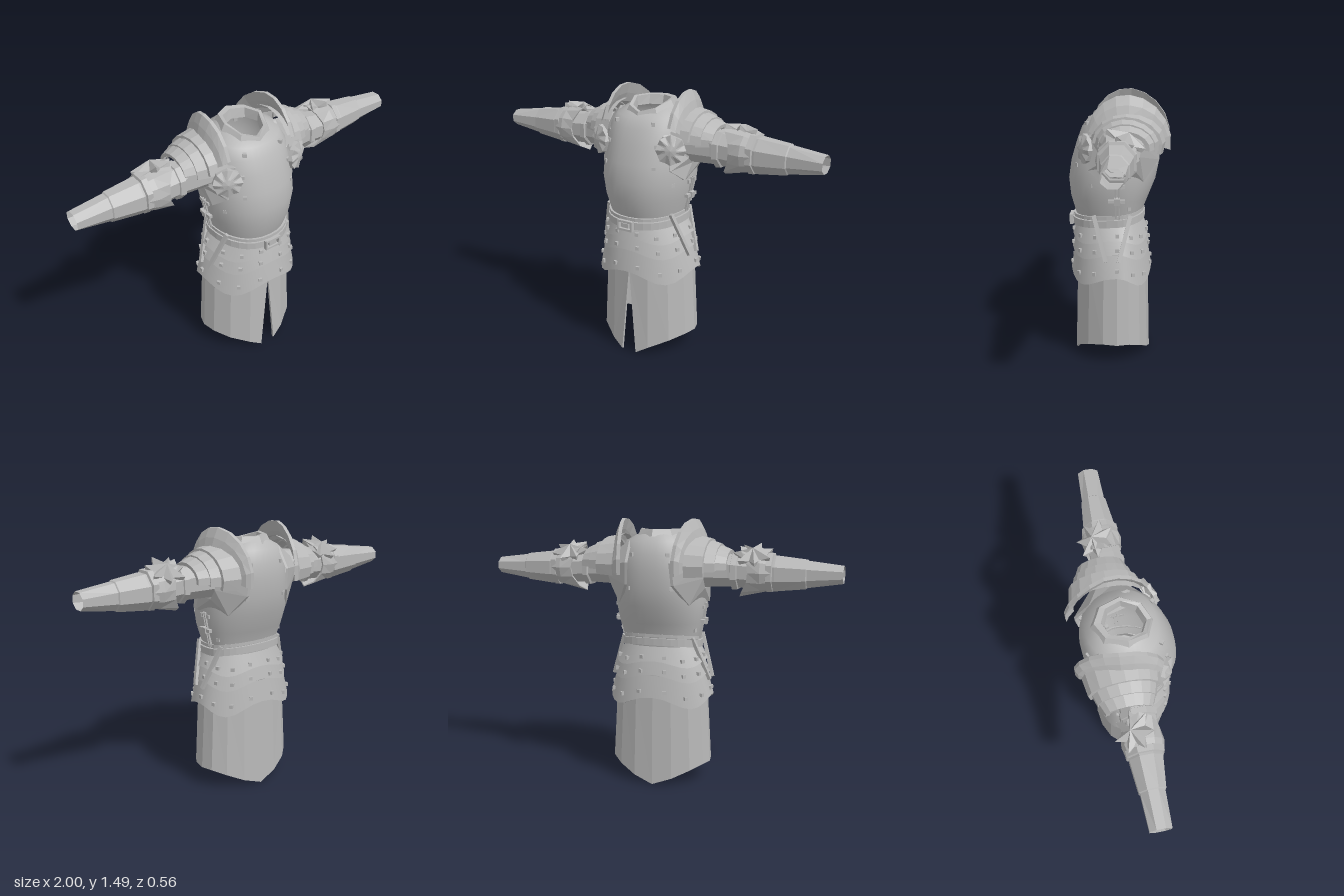
import * as THREE from 'three';
import { mergeVertices } from 'three/addons/utils/BufferGeometryUtils.js';

const steel = new THREE.MeshStandardMaterial({ color: 0xb8b8b8, side: THREE.DoubleSide });
steel.name = 'steel grey';
const { sin, cos, PI, max, min, abs, sqrt, pow, sign } = Math;

function add(parent, name, geometry) {
  const m = new THREE.Mesh(geometry, steel);
  m.name = name;
  parent.add(m);
  return m;
}

// Sheet from a rule (i along, j across); smooth or faceted
function sheet(parent, name, nu, nv, rule, smooth = false) {
  const pos = [], idx = [];
  for (let j = 0; j <= nv; j++)
    for (let i = 0; i <= nu; i++) pos.push(...rule(i, j));
  for (let j = 0; j < nv; j++)
    for (let i = 0; i < nu; i++) {
      const a = j * (nu + 1) + i, b = a + nu + 1;
      idx.push(a, a + 1, b + 1, a, b + 1, b);
    }
  let g = new THREE.BufferGeometry();
  g.setAttribute('position', new THREE.Float32BufferAttribute(pos, 3));
  g.setIndex(idx);
  g = smooth ? mergeVertices(g, 1e-4) : g.toNonIndexed();
  g.computeVertexNormals();
  return add(parent, name, g);
}

// Body section [half width, front z, back z] at angle a, 0 = front
function around([hw, zf, zb], a, p = 0.9) {
  const c = cos(a), s = sin(a);
  return [hw * sign(s) * pow(abs(s), p), (c > 0 ? zf : -zb) * sign(c) * pow(abs(c), p)];
}

// Bar between two points, lying on the side of the body
function bar(parent, name, p, q, w, t) {
  const a = new THREE.Vector3(...p), b = new THREE.Vector3(...q);
  const m = add(parent, name, new THREE.BoxGeometry(w, t, a.distanceTo(b)));
  m.position.copy(a).add(b).multiplyScalar(0.5);
  m.up.set(1, 0, 0);
  m.lookAt(b);
}

function rivet(parent, x, y, z) {
  const m = add(parent, 'rivet', new THREE.BoxGeometry(0.02, 0.02, 0.02));
  m.position.set(x, y, z);
  m.rotation.y = Math.atan2(x, z);
}

// Torso rows: y, half width, front z, back z, drop at the front
const torsoRows = [
  [0.76, 0.2, 0.22, -0.12, 0], [0.83, 0.215, 0.245, -0.13, 0], [0.92, 0.24, 0.27, -0.165, 0],
  [1.02, 0.255, 0.28, -0.205, 0], [1.12, 0.25, 0.265, -0.225, 0], [1.22, 0.235, 0.235, -0.23, 0],
  [1.3, 0.225, 0.205, -0.22, 0], [1.37, 0.19, 0.168, -0.195, 0.02], [1.41, 0.115, 0.13, -0.145, 0.04],
];
function torsoX(y, z) {
  let k = 0;
  while (k < torsoRows.length - 2 && torsoRows[k + 1][0] < y) k++;
  const A = torsoRows[k], B = torsoRows[k + 1], t = min(1, max(0, (y - A[0]) / (B[0] - A[0])));
  const mix = n => A[n] + (B[n] - A[n]) * t;
  const d = z / (z > 0 ? mix(2) : mix(3));
  return mix(1) * sqrt(max(0.25, 1 - d * d));
}

function buildTorso(g) {
  sheet(g, 'breastplate', 40, 8, (i, j) => {
    const [y, hw, zf, zb, drop] = torsoRows[j], a = i / 40 * 2 * PI;
    const [x, z] = around([hw, zf, zb], a);
    return [x, y - drop * max(0, cos(a)), z];
  }, true);
  // Collar, a folded eight-sided ring dipping at the front
  const collar = [[0.14, 0.155, -0.17, -0.025], [0.118, 0.14, -0.15, 0.015], [0.1, 0.115, -0.115, 0.012], [0.095, 0.1, -0.1, -0.04]];
  sheet(g, 'collar', 8, 3, (i, j) => {
    const a = i / 8 * 2 * PI, [x, z] = around(collar[j], a, 1);
    return [x, 1.42 + collar[j][3] - 0.055 * pow(max(0, cos(a)), 1.5), z];
  });
}

function buildWaist(g) {
  // Belt with a rectangular section, and the thin rim above it
  const band = (name, y, h, grow) => sheet(g, name, 32, 4, (i, j) => {
    const a = i / 32 * 2 * PI, out = [0, grow, grow, 0, 0][j], up = [h, h, -h, -h, h][j];
    const [x, z] = around([0.213 + out, 0.243 + out, -0.13 - out], a);
    return [x, y + up - 0.02 * cos(a), z];
  });
  band('belt', 0.798, 0.02, 0.016);
  band('waistRim', 0.832, 0.009, 0.012);
  for (const s of [-1, 1]) {
    add(g, 'buckleSide', new THREE.BoxGeometry(0.012, 0.055, 0.02)).position.set(s * 0.043, 0.778, 0.268);
    add(g, 'buckleBar', new THREE.BoxGeometry(0.09, 0.012, 0.02)).position.set(0, 0.778 + s * 0.023, 0.268);
  }
  add(g, 'bucklePin', new THREE.BoxGeometry(0.045, 0.024, 0.014)).position.set(0, 0.778, 0.266);

  // Overlapping hip lames with scalloped lower edges
  const lames = [
    [0.79, [0.212, 0.24, -0.135], 0.695, [0.262, 0.262, -0.165], 0.018],
    [0.71, [0.24, 0.245, -0.155], 0.615, [0.275, 0.265, -0.172], 0.022],
    [0.63, [0.262, 0.25, -0.165], 0.48, [0.298, 0.272, -0.185], 0.03],
  ];
  for (const [y0, s0, y1, s1, wave] of lames) {
    const at = (a, t, inset = 0) => {
      const s = s0.map((v, k) => v + (s1[k] - v) * t - sign(v) * inset);
      const [x, z] = around(s, a);
      return [x, y0 + (y1 + wave * cos(4 * a) - y0) * t, z];
    };
    sheet(g, 'hipLame', 32, 1, (i, j) => at(i / 32 * 2 * PI, j), true);
    sheet(g, 'hipLameEdge', 32, 1, (i, j) => at(i / 32 * 2 * PI, 1, j * 0.018));
    for (let k = 0; k < 14; k++) {
      const [x, y, z] = at((k + 0.5) / 14 * 2 * PI, 0.68);
      rivet(g, x, y, z);
    }
  }
}

function buildSkirt(g) {
  // Flat panels from the front slit round to the back, hem low at front and back
  const angles = [0, 0.42, 0.85, 1.25, 1.57, 1.95, 2.35, 2.75, PI];
  for (const s of [-1, 1]) {
    const at = (i, t, inset = 0) => {
      const a = i === 0 ? 0.16 * t : angles[i];
      const [x, z] = around([0.268 + 0.024 * t - inset, 0.238 + 0.014 * t - inset, -0.165 - 0.012 * t + inset], a, 1);
      const hem = 0.118 * pow(max(0, abs(x) / 0.28 - 0.16) / 0.84, 0.85);
      return [s * x, 0.52 + (min(0.115, hem) - 0.52) * t, z];
    };
    sheet(g, 'skirtPanels', 8, 1, at);
    sheet(g, 'skirtLining', 8, 1, (i, j) => at(i, j, 0.012), true);
    sheet(g, 'skirtHem', 8, 1, (i, j) => at(i, 1, j * 0.012));
    sheet(g, 'slitEdge', 1, 1, (i, j) => at(0, i, j * 0.012));
  }
}

// Plate arched over the shoulder: sections [x, height radius, depth radius]
function arch(g, name, sections, from, to, lean = 0) {
  sheet(g, name, 9, sections.length - 1, (i, j) => {
    const f = from + (to - from) * i / 9, [x, ry, rz] = sections[j];
    const back = max(0, -sin(f));
    return [x - lean * back, 1.24 + ry * cos(f), -0.045 + rz * sin(f) * (1 + 0.1 * back)];
  });
}

// Faceted tube along the arm: sections [x, centre y, centre z, ry, rz]
function armTube(g, name, sections, sides = 8) {
  sheet(g, name, sides, sections.length - 1, (i, j) => {
    const a = (i + 0.5) / sides * 2 * PI, [x, y, z, ry, rz] = sections[j];
    return [x, y + ry * 1.06 * cos(a), z + rz * 1.06 * sin(a)];
  });
}

function buildSide() {
  const g = new THREE.Group();
  // Plate round the armhole, lying on the torso
  const outline = [[0.05, 1.38], [0.16, 1.27], [0.16, 1.09], [0.08, 1.03], [-0.14, 1.03], [-0.22, 1.14], [-0.235, 1.26], [-0.15, 1.37], [0.05, 1.38]];
  sheet(g, 'armholePlate', 8, 2, (i, j) => {
    const [z, y] = outline[i], t = [0, 0, 0.5][j];
    const x = torsoX(y, z) + [0, 0.016, 0][j];
    return j < 2 ? [x, y, z] : [max(0.275, x), y + (1.21 - y) * t, z + (-0.02 - z) * t];
  });
  // Shoulder lames and the upright neck guard
  arch(g, 'neckGuard', [[0.24, 0.14, 0.17], [0.215, 0.19, 0.2], [0.195, 0.25, 0.215], [0.215, 0.25, 0.218], [0.238, 0.2, 0.205], [0.255, 0.14, 0.175]], -1.75, 1.25, 0.055);
  arch(g, 'shoulderLame', [[0.2, 0.165, 0.19], [0.3, 0.147, 0.175], [0.302, 0.13, 0.158]], -1.9, 1.5);
  arch(g, 'shoulderLame', [[0.27, 0.145, 0.168], [0.355, 0.118, 0.142], [0.355, 0.1, 0.125]], -1.75, 1.6);
  arch(g, 'shoulderLame', [[0.33, 0.12, 0.148], [0.41, 0.088, 0.115], [0.408, 0.07, 0.095]], -1.7, 1.7);
  // Fluted disc guarding the armpit
  const disc = new THREE.Group();
  disc.name = 'armpitDisc';
  sheet(disc, 'discFace', 16, 3, (i, j) => {
    const a = i / 16 * 2 * PI, r = [0, 0.03, 0.08, 0.08][j] * (i % 2 ? 0.93 : 1);
    return [r * cos(a), r * sin(a), [0.028, 0.022, i % 2 ? 0 : 0.012, -0.014][j]];
  });
  disc.position.set(0.228, 1.21, 0.175);
  disc.lookAt(0.228 + 0.45, 1.21 + 0.05, 0.175 + 0.88);
  g.add(disc);
  // Arm plates
  armTube(g, 'upperArm', [[0.24, 1.22, -0.01, 0.1, 0.1], [0.4, 1.215, -0.01, 0.088, 0.085], [0.54, 1.205, -0.01, 0.085, 0.082]]);
  armTube(g, 'armBand', [[0.41, 1.21, -0.01, 0.085, 0.082], [0.415, 1.21, -0.01, 0.098, 0.095], [0.445, 1.21, -0.01, 0.096, 0.092], [0.45, 1.21, -0.01, 0.083, 0.08]]);
  armTube(g, 'forearm', [[0.57, 1.205, -0.015, 0.088, 0.08], [0.65, 1.205, -0.015, 0.094, 0.085], [0.81, 1.205, -0.016, 0.077, 0.068], [0.815, 1.205, -0.016, 0.071, 0.062], [1, 1.208, -0.014, 0.046, 0.056]]);
  armTube(g, 'elbowCuff', [[0.6, 1.21, -0.015, 0.085, 0.08], [0.605, 1.21, -0.015, 0.104, 0.098], [0.635, 1.21, -0.015, 0.102, 0.096], [0.64, 1.21, -0.015, 0.085, 0.08]]);
  // Elbow guard with points reaching inward above and below
  sheet(g, 'elbowGuard', 12, 3, (i, j) => {
    const a = i / 12 * 2 * PI, tip = pow(abs(cos(a)), 3);
    const r = [0.095, 0.108, 0.098 + 0.038 * tip, 0.085 + 0.045 * tip][j];
    const x = [0.63, 0.575, 0.51 - 0.06 * tip, 0.512 - 0.06 * tip][j];
    return [x, 1.21 + r * cos(a), -0.015 + r * sin(a)];
  });
  // Star-shaped ridge plate on the elbow
  const star = new THREE.Group();
  star.name = 'elbowStar';
  sheet(star, 'starFace', 14, 2, (i, j) => {
    const a = i / 14 * 2 * PI, r = [0, 1, 0.93][j] * (i % 2 ? 0.062 : 0.108);
    return [r * cos(a), r * sin(a), [0.035, i % 2 ? -0.012 : 0.004, -0.022][j]];
  });
  star.position.set(0.53, 1.31, -0.055);
  star.lookAt(0.53, 1.31 + 0.88, -0.055 - 0.45);
  g.add(star);
  // Side closure, straps and torso rivets
  for (const z of [-0.009, 0.009]) bar(g, 'sideSeam', [0.222, 0.83, z], [0.261, 1.03, z], 0.008, 0.014);
  bar(g, 'sideClasp', [0.25, 0.93, -0.042], [0.25, 0.93, 0.048], 0.018, 0.022);
  bar(g, 'claspBuckle', [0.252, 0.912, 0], [0.257, 0.948, 0], 0.032, 0.026);
  bar(g, 'hipStrap', [0.205, 0.84, 0.13], [0.285, 0.6, 0.06], 0.022, 0.018);
  bar(g, 'hipStrap', [0.2, 0.84, -0.07], [0.288, 0.6, -0.01], 0.022, 0.018);
  for (const [x, y, z] of [[0.115, 1.33, 0.168], [0.145, 1.22, 0.19], [0.15, 1.11, 0.218], [0.1, 1.3, -0.2], [0.12, 1.12, -0.2]]) rivet(g, x, y, z);
  for (const [y, z] of [[1.01, 0.14], [1.01, 0.03], [1.01, -0.03], [0.88, -0.06]]) rivet(g, torsoX(y, z), y, z);
  return g;
}

export function createModel() {
  const model = new THREE.Group();
  model.name = 'plateArmour';
  buildTorso(model);
  buildWaist(model);
  buildSkirt(model);
  const left = buildSide(), right = buildSide();
  left.name = 'leftArmAndShoulder';
  right.name = 'rightArmAndShoulder';
  right.scale.x = -1;
  model.add(left, right);
  return model;
}
